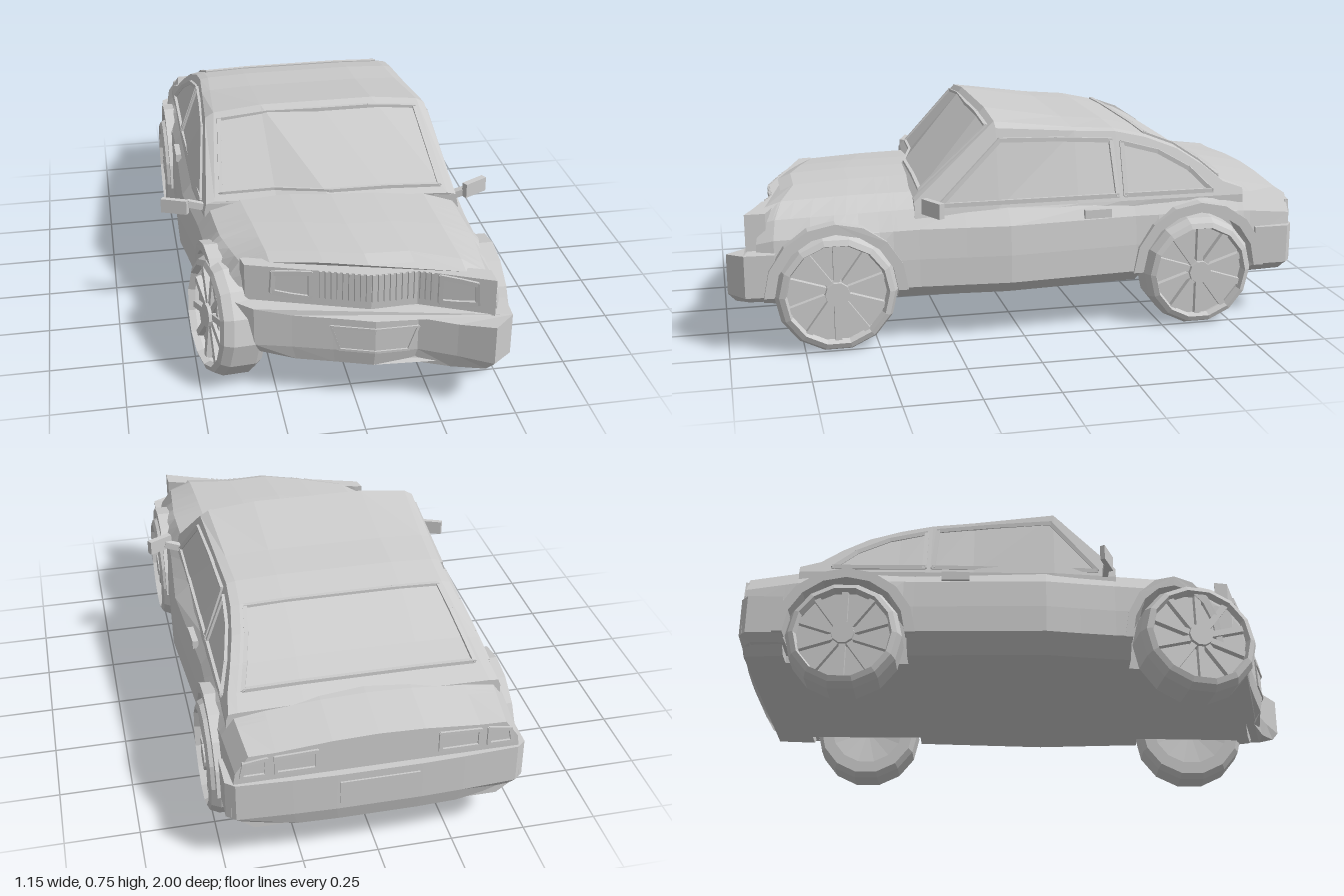
import * as THREE from 'three';
import { mergeGeometries } from 'three/addons/utils/BufferGeometryUtils.js';

const { clamp, lerp } = THREE.MathUtils;
const V = (x, y, z) => new THREE.Vector3(x, y, z);

// Dented bodywork: the nose is pushed back, most of all at its right corner
function dent(geo) {
  const p = geo.attributes.position;
  for (let i = 0; i < p.count; i++) {
    let x = p.getX(i), y = p.getY(i), z = p.getZ(i);
    const t = clamp((z - 0.1) / 0.9, 0, 1);
    const across = clamp((0.45 - x) / 0.3, 0, 1), right = clamp(-x / lerp(0.17, 0.45, t), 0, 1);
    const dz = -0.13 * t * t * across - 0.14 * t ** 0.65 * right;
    if (x > 0.4 && y < 0.44) x += 0.02 * Math.max(0, 1 - Math.abs(z - 0.05) / 0.45);
    p.setXYZ(i, x + 0.055 * t * t * across + 0.035 * Math.sqrt(t) * right, y, z + dz);
  }
  geo.computeVertexNormals();
  return geo;
}

// Interpolated row of a table whose first column falls
function row(keys, z) {
  let i = 0;
  while (i < keys.length - 2 && z < keys[i + 1][0]) i++;
  const a = keys[i], b = keys[i + 1], t = clamp((a[0] - z) / (a[0] - b[0]), 0, 1);
  return a.map((v, k) => lerp(v, b[k], t));
}

// Closed loft through half sections, mirrored across x = 0 and capped
function loft(stations) {
  const rings = stations.map(({ z, pts }) => [
    ...pts.map(([x, y]) => V(x, y, z)),
    ...pts.slice(1, -1).reverse().map(([x, y]) => V(-x, y, z))]);
  const out = [], n = rings[0].length;
  const tri = (...v) => v.forEach(q => out.push(q.x, q.y, q.z));
  for (let i = 0; i < rings.length - 1; i++) for (let j = 0; j < n; j++) {
    const a = rings[i], b = rings[i + 1], k = (j + 1) % n;
    tri(a[j], b[j], b[k]);
    tri(a[j], b[k], a[k]);
  }
  [[rings[0], false], [rings.at(-1), true]].forEach(([r, flip]) => {
    const m = r.length, q = stations[0].pts.length;
    for (let j = 0; j < q - 1; j++) {
      const c = r[j], d = r[j + 1], e = r[(m - j - 1) % m], f = r[(m - j) % m];
      flip ? (tri(c, e, d), tri(c, f, e)) : (tri(c, d, e), tri(c, e, f));
    }
  });
  const g = new THREE.BufferGeometry();
  g.setAttribute('position', new THREE.Float32BufferAttribute(out, 3));
  return g;
}

// Square bar between two points
function bar(a, b, t) {
  const g = new THREE.BoxGeometry(t, t, a.distanceTo(b) + t * 0.6);
  g.applyMatrix4(new THREE.Matrix4().lookAt(b, a, V(0, 1, 0.01)));
  const m = a.clone().add(b).multiplyScalar(0.5);
  return g.translate(m.x, m.y, m.z);
}
const frame = (pts, t) => mergeGeometries(pts.map((p, i) => bar(p, pts[(i + 1) % pts.length], t)));
const box = (w, h, d, x, y, z) => new THREE.BoxGeometry(w, h, d).translate(x, y, z);

// z, half width, fender height, centre height
const BODY = [[0.9, 0.452, 0.43, 0.485], [0.84, 0.475, 0.445, 0.502], [0.6, 0.495, 0.455, 0.508],
  [0.36, 0.49, 0.46, 0.508], [0.2, 0.495, 0.46, 0.495], [0.05, 0.5, 0.46, 0.49], [-0.4, 0.49, 0.46, 0.49],
  [-0.65, 0.495, 0.46, 0.49], [-0.8, 0.485, 0.455, 0.485], [-0.975, 0.47, 0.435, 0.452]];
// z, roof edge height, extra height of the crown
const CABIN = [[0.37, 0.485, 0.015], [0.08, 0.715, 0.036], [-0.2, 0.69, 0.015], [-0.35, 0.68, 0.012],
  [-0.46, 0.655, 0.012], [-0.57, 0.613, 0.012], [-0.66, 0.555, 0.01], [-0.73, 0.497, 0.008], [-0.8, 0.472, 0.006]];
const ARCH = { r: 0.21, y: 0.2, z: [0.64, -0.63] };
const sideX = (y, z) => 0.455 - (y - 0.45) * lerp(0.22, 0.38, clamp((0.08 - z) / 0.5, 0, 1));
const archY = z => ARCH.z.reduce((y, c) => Math.abs(z - c) < ARCH.r - 1e-6
  ? Math.max(y, ARCH.y + Math.sqrt(ARCH.r ** 2 - (z - c) ** 2)) : y, 0.15);

function bodyGeometry() {
  const zs = BODY.map(k => k[0]);
  for (const c of ARCH.z) {
    for (let i = 0; i <= 8; i++) zs.push(c + Math.cos(i * Math.PI / 8) * (ARCH.r - 0.0005));
    zs.push(c + ARCH.r, c - ARCH.r);
  }
  return loft(zs.sort((a, b) => b - a).map(z => {
    const [, w, edge, top] = row(BODY, z), a = archY(z);
    return { z, pts: [[0, 0.15], [0.35, 0.15], [0.35, a], [a > 0.16 ? w - 0.02 : w - 0.07, a],
      [w + 0.004, Math.max(0.205, a)], [w, Math.max(0.3, a + 0.005)], [w - 0.012, Math.max(edge - 0.06, a + 0.01)],
      [w - 0.055, Math.max(edge, a + 0.02)], [0.33, top - 0.015], [0.15, top], [0, top + 0.005]] };
  }));
}

function cabinGeometry() {
  return loft(CABIN.map(([z, y, c]) => ({ z, pts: [[0, 0.42], [0.455, 0.42], [sideX(0.45, z), 0.45],
    [sideX(y, z), y], [sideX(y, z) - 0.03, y + c * 0.5], [0.2, y + c], [0, y + c]] })));
}

// Point on the top skin of the cabin, u from -1 to 1 across it
function skin(z, u) {
  const [, y, c] = row(CABIN, z), w = sideX(y, z) - 0.03;
  const x = u * w;
  return V(x, y + c * (1 - 0.5 * clamp((Math.abs(x) - 0.2) / (w - 0.2), 0, 1)), z);
}

// Bumper: plan outline raised from the sill, drawn in and lifted at the lower corners
function bumperGeometry(dir) {
  const half = [[0.49, 0.84], [0.485, 0.94], [0.41, 1.012], [0.28, 1.004], [0.14, 1], [0, 1]];
  if (dir < 0) half.splice(1, 3, [0.49, 0.96], [0.46, 0.985], [0.28, 0.995]);
  const pts = [...half, ...half.slice(0, -1).reverse().map(([x, z]) => [-x, z])];
  const g = new THREE.ExtrudeGeometry(new THREE.Shape(pts.map(([x, z]) => new THREE.Vector2(x, -z * dir))),
    { depth: 0.185, steps: 2, bevelEnabled: false }).rotateX(-Math.PI / 2).translate(0, 0.15, 0);
  const p = g.attributes.position;
  for (let i = 0; i < p.count; i++) {
    const corner = clamp((Math.abs(p.getX(i)) - 0.28) / 0.2, 0, 1);
    if (p.getY(i) < 0.16) {
      p.setXYZ(i, p.getX(i) * 0.94, 0.147 + 0.03 * corner, p.getZ(i) * 0.985);
    } else if (p.getY(i) < 0.3) p.setY(i, 0.2);
    else if (dir > 0) p.setY(i, 0.32 + 0.025 * corner);
  }
  return g;
}

// Half-ring lip over a wheel
function flareGeometry(s, zc) {
  const shape = new THREE.Shape();
  const arc = (r, i) => new THREE.Vector2(Math.cos(i * Math.PI / 8) * r, Math.sin(i * Math.PI / 8) * r);
  const n = [...Array(9).keys()];
  shape.setFromPoints([...n.map(i => arc(0.24, i)), ...n.reverse().map(i => arc(0.205, i))]);
  return new THREE.ExtrudeGeometry(shape, { depth: 0.05, bevelEnabled: false })
    .rotateY(-Math.PI / 2).translate(s * 0.477 + 0.025, ARCH.y, zc);
}

// Wheel with its outer face towards +x
function makeWheel(mat, r) {
  const wheel = new THREE.Group();
  const part = (name, g) => { const m = new THREE.Mesh(g, mat); m.name = name; wheel.add(m); };
  const prof = [[0.8, 0.055], [0.84, 0.078], [0.93, 0.07], [1, 0.04], [1, -0.05], [0.92, -0.075], [0.7, -0.075], [0, -0.05]];
  part('tyre', new THREE.LatheGeometry(prof.reverse().map(([a, b]) => new THREE.Vector2(a * r, b)), 14).rotateZ(-Math.PI / 2));
  part('rimDisc', new THREE.CylinderGeometry(r * 0.82, r * 0.82, 0.02, 14).rotateZ(Math.PI / 2).translate(0.03, 0, 0));
  part('hub', new THREE.CylinderGeometry(r * 0.2, r * 0.22, 0.045, 10).rotateZ(-Math.PI / 2).translate(0.05, 0, 0));
  part('spokes', mergeGeometries([...Array(10).keys()].map(i =>
    new THREE.BoxGeometry(0.022, r * 0.62, 0.022).translate(0.05, r * 0.5, 0).rotateX(i * Math.PI / 5))));
  return wheel;
}

export function createModel() {
  const car = new THREE.Group();
  car.name = 'dentedCar';
  const paint = new THREE.MeshStandardMaterial({ color: 0xcccccc, flatShading: true, side: THREE.DoubleSide });
  paint.name = 'plainGrey';
  const add = (name, geo) => {
    const m = new THREE.Mesh(dent(geo), paint);
    m.name = name;
    car.add(m);
  };

  add('body', bodyGeometry());
  add('cabin', cabinGeometry());
  add('frontBumper', bumperGeometry(1));
  add('rearBumper', bumperGeometry(-1));
  add('noseFace', new THREE.BoxGeometry(0.85, 0.16, 0.07, 28, 1, 1).translate(0, 0.39, 0.905));

  // Window surrounds on the windscreen and the rear hatch
  const us = [-0.95, -0.5, -0.25, 0, 0.5, 0.95];
  const loop = (a, b, mid) => [...us.map(u => skin(a, u)), ...mid.map(z => skin(z, 0.95)),
    ...us.toReversed().map(u => skin(b, u)), ...mid.toReversed().map(z => skin(z, -0.95))];
  add('windscreenFrame', frame(loop(0.345, 0.105, []), 0.013));
  add('rearWindowFrame', frame(loop(-0.47, -0.725, [-0.57, -0.66]), 0.014));

  // Grille, number plates
  const slats = [...Array(20).keys()].map(i => box(0.01, 0.1, 0.014, -0.17 + i * 0.0195, 0.42, 0.944));
  add('grilleSlats', mergeGeometries(slats));
  add('frontPlate', frame([V(-0.15, 0.29, 1.002), V(0, 0.29, 1.002), V(0.14, 0.29, 1.002),
    V(0.11, 0.205, 1.002), V(0, 0.205, 1.002), V(-0.12, 0.205, 1.002)], 0.008));
  add('rearPlate', box(0.26, 0.085, 0.012, 0, 0.265, -1));

  for (const s of [1, -1]) {
    // Side glass outlines, in z and y
    const onSide = ([z, y]) => V(s * sideX(y, z), y, z);
    add('doorWindowFrame', frame([[0.285, 0.47], [0.07, 0.675], [-0.13, 0.667], [-0.33, 0.652], [-0.34, 0.47]].map(onSide), 0.015));
    add('quarterWindowFrame', frame([[-0.37, 0.47], [-0.37, 0.642], [-0.5, 0.607], [-0.61, 0.545], [-0.685, 0.47]].map(onSide), 0.015));
    add('doorHandle', box(0.02, 0.03, 0.095, s * 0.478, 0.42, -0.26));

    // Lamps
    const c = s > 0 ? 0.295 : -0.27;
    add('headlampFrame', frame([[-0.065, 0.368], [0, 0.372], [0.065, 0.38], [0.06, 0.45], [0, 0.456], [-0.065, 0.46]]
      .map(([x, y]) => V(c + s * x, y, 0.944)), 0.016));
    add('tailLampFrame', frame([V(s * 0.2, 0.425, -0.977), V(s * 0.33, 0.42, -0.977),
      V(s * 0.33, 0.36, -0.977), V(s * 0.2, 0.36, -0.977)], 0.012));
    add('sideLampFrame', frame([V(s * 0.36, 0.42, -0.977), V(s * 0.43, 0.41, -0.977),
      V(s * 0.44, 0.36, -0.977), V(s * 0.36, 0.36, -0.977)], 0.012));

    // Door mirror
    add('mirrorArm', bar(V(s * 0.44, 0.455, 0.32), V(s * 0.5, 0.475, 0.325), 0.025));
    add('mirrorHousing', new THREE.BoxGeometry(0.095, 0.052, 0.022).rotateY(s * 0.5)
      .translate(s > 0 ? 0.528 : -0.55, s > 0 ? 0.482 : 0.468, 0.32));

    // Wheels and arches; the front right wheel is knocked back, turned and leaning
    ARCH.z.forEach((z, i) => {
      add('wheelArch', flareGeometry(s, z));
      const r = i ? 0.196 : 0.207, bent = s < 0 && i === 0;
      const wheel = makeWheel(paint, r);
      wheel.name = i ? 'rearWheel' : 'frontWheel';
      wheel.rotation.y = s > 0 ? 0 : Math.PI;
      wheel.position.set(s * 0.443, r * 0.975, z);
      if (bent) {
        wheel.rotation.y += 0.21;
        wheel.rotateOnWorldAxis(V(0, 0, 1), -0.1);
        wheel.position.set(-0.395, r, 0.56);
      }
      car.add(wheel);
    });
  }
  return car;
}
